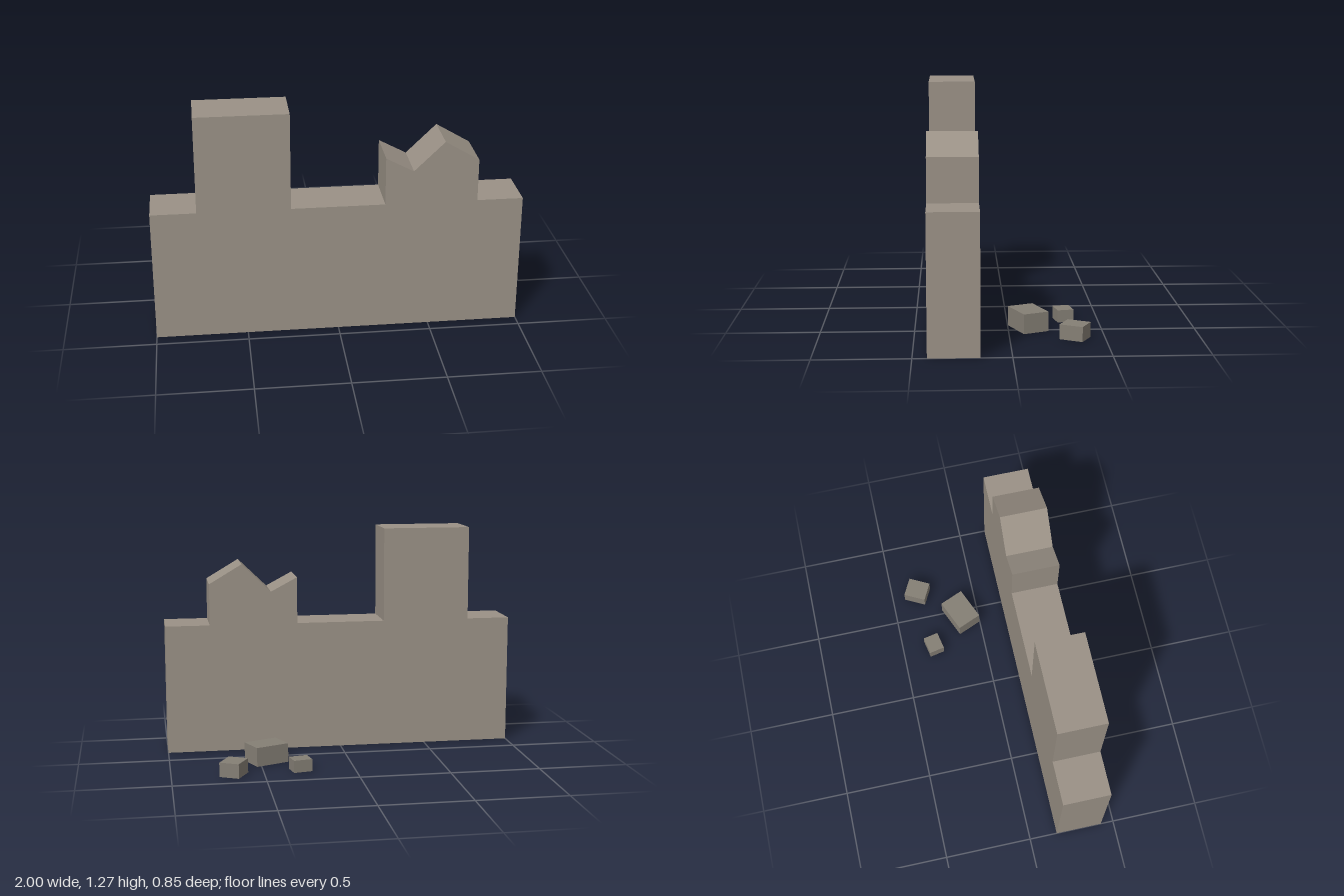
import * as THREE from 'three';

export function createModel() {
  const group = new THREE.Group();
  const stone = new THREE.MeshStandardMaterial({ color: 0x9a9186, flatShading: true });
  const rubbleStone = new THREE.MeshStandardMaterial({ color: 0x857f75, flatShading: true });

  // Wall outline: one whole merlon and one broken merlon
  const outline = [
    [-1, 0], [1, 0], [1, 0.735], [0.75, 0.735],
    [0.75, 0.97], [0.565, 1.08], [0.4, 0.92], [0.25, 1.0],
    [0.25, 0.735], [-0.255, 0.735], [-0.255, 1.27], [-0.755, 1.27],
    [-0.755, 0.735], [-1, 0.735],
  ].map(([x, y]) => new THREE.Vector2(x, y));
  const wall = new THREE.Mesh(
    new THREE.ExtrudeGeometry(new THREE.Shape(outline), { depth: 0.266, bevelEnabled: false }),
    stone
  );
  wall.name = 'battlementWall';
  wall.position.z = 0.16;
  group.add(wall);

  // Fallen blocks behind the broken merlon: width, height, depth, x, z, turn
  const rubble = new THREE.Group();
  rubble.name = 'rubble';
  [
    [0.197, 0.107, 0.146, 0.463, -0.108, 0.4],
    [0.113, 0.08, 0.13, 0.664, -0.342, -0.48],
    [0.104, 0.068, 0.09, 0.297, -0.31, 0.2],
  ].forEach(([w, h, d, x, z, turn], i) => {
    const block = new THREE.Mesh(new THREE.BoxGeometry(w, h, d), rubbleStone);
    block.name = `fallenBlock${i + 1}`;
    block.position.set(x, h / 2, z);
    block.rotation.y = turn;
    rubble.add(block);
  });
  group.add(rubble);

  return group;
}
